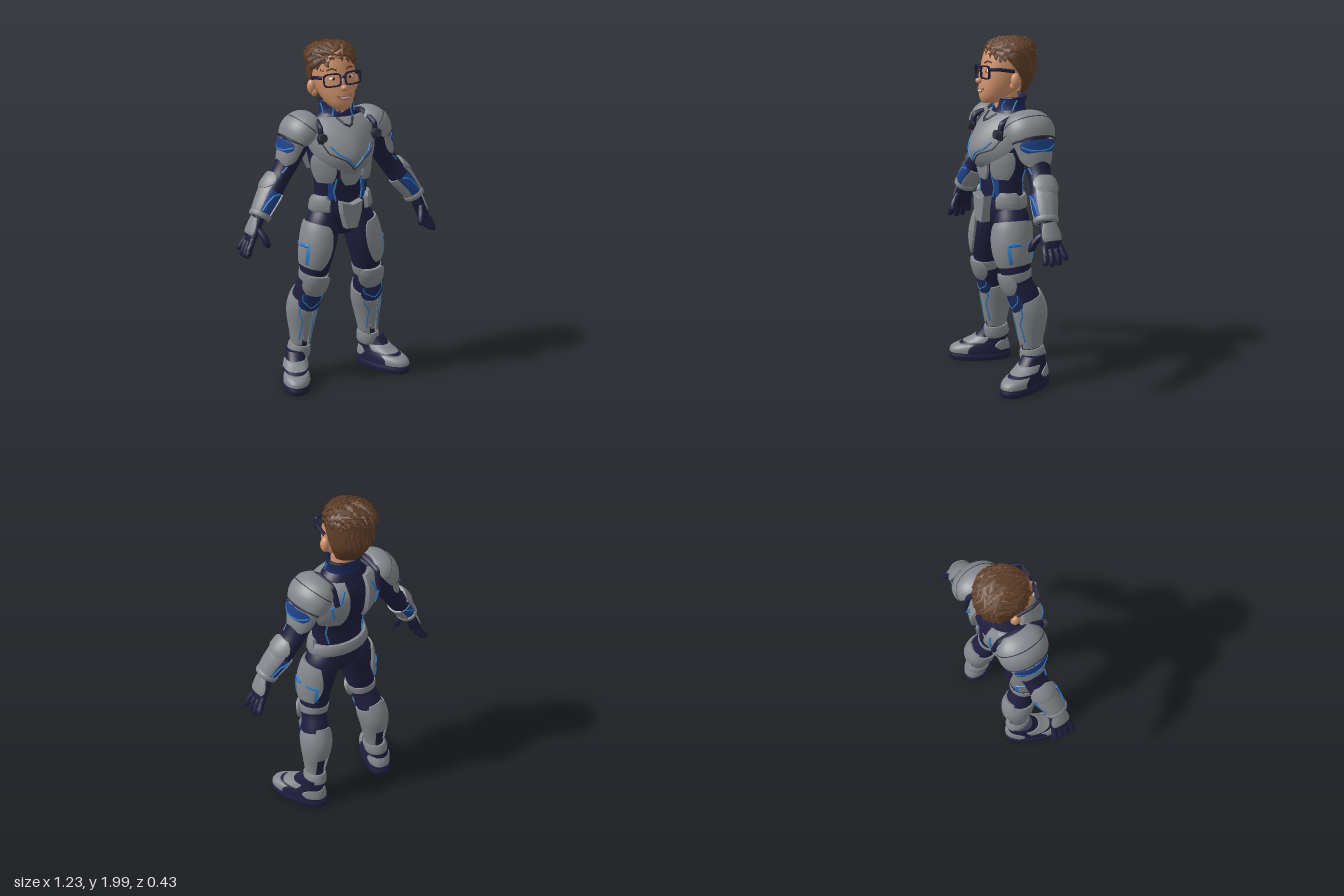
import * as THREE from 'three';
import { mergeGeometries, toCreasedNormals } from 'three/addons/utils/BufferGeometryUtils.js';

const mat = (name, color) => Object.assign(new THREE.MeshStandardMaterial({ color }), { name });
const M = {
  armour: mat('armour grey', 0x84878c), trim: mat('dark trim', 0x30323c), suit: mat('navy suit', 0x201e3e), blue: mat('deep blue panel', 0x1f428c),
  glow: mat('bright blue line', 0x2d7bc2), skin: mat('skin', 0xcf9069), hair: mat('brown hair', 0x5f3e28), white: mat('white', 0xe6e2dc),
  midnight: mat('midnight blue', 0x1b2a5c), lip: mat('lip', 0xa05f4c),
};
const V = (x, y, z) => new THREE.Vector3(x, y, z), Z = V(0, 0, 1);
const cross = (a, b) => V(0, 0, 0).crossVectors(a, b).normalize();

// A ring is [x, y, z, halfWidth, halfDepth, startAngle, endAngle]; smooth sampling between rings
function at(R, t) {
  t = Math.min(Math.max(t, 0), R.length - 1);
  const i = Math.min(Math.floor(t), R.length - 2), f = t - i;
  const a = R[Math.max(i - 1, 0)], b = R[i], c = R[i + 1], d = R[Math.min(i + 2, R.length - 1)];
  return b.map((q, j) => q + 0.5 * f * (c[j] - a[j] + f * (2 * a[j] - 5 * q + 4 * c[j] - d[j] + f * (3 * (q - c[j]) + d[j] - a[j]))));
}
// Point on the lofted surface: 0 degrees is outward, 90 degrees is the front
function point(R, t, deg, out, k, { flat, p = 1 }) {
  const r = at(R, t), a = THREE.MathUtils.degToRad(deg), pw = (q) => Math.sign(q) * Math.abs(q) ** p;
  const dir = flat ? V(0, 1, 0) : V(...at(R, t + 0.1)).sub(V(...at(R, t - 0.1))).normalize();
  if (dir.y < 0) dir.negate();
  const u = cross(dir, Z), v = cross(u, dir);
  return V(...r).addScaledVector(u, pw(Math.cos(a)) * (r[3] + out) * k).addScaledVector(v, pw(Math.sin(a)) * (r[4] + out) * k);
}
// Closed loft, or a thick curved plate when an angle range is given
function loft(R, o = {}) {
  const { t0 = 0, t1 = R.length - 1, out = 0, taper = 0, k = 0.86 } = o;
  const plate = !!o.a || R[0].length > 5, seg = plate ? 18 : 28, L = plate ? 2 * (seg + 1) : seg;
  const steps = Math.max(5, Math.ceil((t1 - t0) * 4)), top = steps * L, pos = [], idx = [];
  for (let j = 0; j <= steps; j++) {
    const f = j / steps, t = t0 + (t1 - t0) * f, e = Math.abs(2 * f - 1), lift = out * (1 - 0.3 * e ** 4);
    const [a0, a1] = plate ? o.a ?? at(R, t).slice(5) : [0, 360];
    for (let i = 0; i < L; i++) {
      const q = (i <= seg ? i : L - 1 - i) / seg;
      const deg = (a0 + a1) / 2 + (q - 0.5) * (a1 - a0) * (1 - taper * e * e);
      pos.push(...point(R, t, deg, lift, i > seg ? k : 1, o));
    }
  }
  for (let j = 0; j < top; j += L) for (let i = 0; i < L; i++) {
    const a = j + i, b = j + (i + 1) % L;
    idx.push(a, b, a + L, b, b + L, a + L);
  }
  const c = pos.length / 3;
  if (!plate) pos.push(...at(R, t0).slice(0, 3), ...at(R, t1).slice(0, 3));
  for (let i = 0; i < seg; i++) {
    const n = L - 1 - i, m = (i + 1) % L;
    if (plate) idx.push(m, i, n, m, n, n - 1, top + i, top + m, top + n, top + m, top + n - 1, top + n);
    else idx.push(c, m, i, c + 1, top + i, top + m);
  }
  // Turn all faces outward
  const P = (i) => V(pos[3 * i], pos[3 * i + 1], pos[3 * i + 2]);
  let vol = 0;
  for (let i = 0; i < idx.length; i += 3) vol += P(idx[i]).dot(P(idx[i + 1]).cross(P(idx[i + 2])));
  if (vol < 0) idx.reverse();
  const g = new THREE.BufferGeometry().setAttribute('position', new THREE.Float32BufferAttribute(pos, 3)).setIndex(idx);
  return toCreasedNormals(g, 0.8);
}
const tube = (pts, r) => new THREE.TubeGeometry(new THREE.CatmullRomCurve3(pts, false, 'catmullrom', 0.2), 40, r, 6);
const ball = (x, y, z, a, b, c) => new THREE.SphereGeometry(1, 20, 14).scale(a, b, c).translate(x, y, z);
const add = (g, name, material, geo) => g.add(Object.assign(new THREE.Mesh(geo, material), { name }));
const group = (parent, name) => {
  const g = Object.assign(new THREE.Group(), { name });
  parent.add(g);
  return g;
};
function mirror(g) {
  for (const m of [...g.children]) {
    const geo = m.geometry.clone().scale(-1, 1, 1);
    geo.setIndex((geo.index ? [...geo.index.array] : [...Array(geo.attributes.position.count).keys()]).reverse());
    add(g, m.name.replace('left', 'right'), m.material, geo);
  }
}
// Shells, armour plates and surface lines that all follow one set of rings
const kit = (g, R, base = {}, place = (geo) => geo) => {
  const k = {
    shell(name, m, o) { add(g, name, m, place(loft(R, { ...base, ...o }))); return k; },
    plate: (name, o) => k.shell(name, M.armour, o),
    line(name, pts, out = 0.003, r = 0.005, m = M.glow) {
      const fine = pts.flatMap((p, i) => i ? [0.25, 0.5, 0.75, 1].map((f) => p.map((q, j) => pts[i - 1][j] * (1 - f) + q * f)) : [p]);
      add(g, name, m, place(tube(fine.map(([t, a]) => point(R, t, a, out, 1, base)), r)));
      return k;
    },
  };
  return k;
};

function buildTorso(root) {
  const g = group(root, 'torso'), s = group(root, 'torsoSides'), flat = true;
  const T = [[0, 0.89, 0, 0.07, 0.06], [0, 0.95, 0, 0.16, 0.1], [0, 1.03, 0.01, 0.175, 0.11], [0, 1.12, 0.01, 0.16, 0.105], [0, 1.22, 0.01, 0.165, 0.11],
    [0, 1.35, -0.015, 0.185, 0.14], [0, 1.47, -0.035, 0.195, 0.135], [0, 1.55, -0.04, 0.14, 0.1], [0, 1.6, -0.04, 0.09, 0.08]];
  kit(g, T, { flat }).shell('bodySuit', M.suit).plate('belt', { t0: 2.1, t1: 2.85, a: [130, 410], out: 0.025 })
    .plate('bellyPlate', { t0: 3.75, t1: 4.9, a: [70, 110], out: 0.022, taper: 0.5 });
  // Pointed breastplate
  kit(g, [[0, 1.265, 0, 0.16, 0.16, 76, 104], [0, 1.305, 0, 0.19, 0.19, 50, 130], [0, 1.37, -0.01, 0.215, 0.215, 25, 155],
    [0, 1.45, -0.02, 0.225, 0.195, 15, 165], [0, 1.52, -0.03, 0.22, 0.155, 20, 160], [0, 1.57, -0.04, 0.17, 0.11, 25, 155]], { flat, p: 1.25 })
    .plate('breastplate').line('neckGuard', [[4.95, 68], [4.3, 80], [4.1, 90], [4.3, 100], [4.95, 112]], 0.001, 0.007, M.trim)
    .line('chestSeam', [[3.3, 35], [2.2, 48], [1.7, 70], [0.7, 90], [1.7, 110], [2.2, 132], [3.3, 145]], 0, 0.004, M.trim)
    .line('chestLine', [[2.7, 52], [2.2, 60], [1.9, 72], [1, 90], [1.9, 108], [2.2, 120], [2.7, 128]], 0.003, 0.005);
  const buckle = new THREE.Shape([[-0.062, 1.1], [-0.057, 1.04], [-0.03, 0.95], [0.03, 0.95], [0.057, 1.04], [0.062, 1.1], [0, 1.08]].map((p) => new THREE.Vector2(...p)));
  add(g, 'buckle', M.armour, new THREE.ExtrudeGeometry(buckle, { depth: 0.045, bevelSize: 0.005, bevelThickness: 0.008, bevelSegments: 2 }).translate(0, 0, 0.108));
  const K = [[0, 1.53, -0.04, 0.125, 0.1, 100, 440], [0, 1.6, -0.04, 0.1, 0.085, 100, 440], [0, 1.655, -0.045, 0.102, 0.086, 112, 428]];
  kit(g, K, { flat }).shell('collar', M.midnight).line('collarRim', [[1.9, 112], [1.9, 270], [1.9, 428]], 0, 0.008, M.suit);
  // Mirrored trim, ribs, shoulder blades and straps
  kit(s, K, { flat }).line('leftCollarLine', [[0.6, 55], [1.2, 58], [1.7, 48]], 0.002).line('leftCollarSideLine', [[0.8, 20], [1.7, 5]], 0.002);
  kit(s, T, { flat }).plate('leftRibPlate', { t0: 3.9, t1: 5.1, a: [10, 64], out: 0.02, taper: 0.35 })
    .plate('leftWaistPad', { t0: 2.25, t1: 3.1, a: [-10, 48], out: 0.026, taper: 0.25 })
    .shell('leftAbPanel', M.blue, { t0: 2.9, t1: 4, a: [44, 58], out: 0.005, taper: 0.3 }).line('leftAbLine', [[2.8, 62], [3.4, 57], [4.1, 64]], 0.004, 0.005)
    .plate('leftBackPlate', { t0: 4.4, t1: 7, a: [286, 345], out: 0.034, taper: 0.3 })
    .line('leftBackLine', [[6.6, 297], [5.9, 300], [5.6, 314], [5, 310]], 0.036, 0.008).line('leftFlankLine', [[3, 315], [3.7, 322], [4.3, 318]]);
  add(s, 'leftStrap', M.suit, tube([V(0.17, 1.44, 0.11), V(0.17, 1.53, 0.095), V(0.155, 1.575, -0.03), V(0.15, 1.555, -0.15), V(0.14, 1.45, -0.18)], 0.017));
  add(s, 'leftStrapJoint', M.trim, new THREE.CylinderGeometry(0.024, 0.028, 0.035, 16).rotateX(1.4).translate(0.17, 1.475, 0.125));
  mirror(s);
}

function buildArms(root) {
  const g = group(root, 'arms');
  const A = [[0.505, 1.035, 0, 0.042, 0.05], [0.47, 1.09, -0.01, 0.05, 0.06], [0.415, 1.165, -0.03, 0.06, 0.068], [0.355, 1.24, -0.045, 0.056, 0.065],
    [0.305, 1.32, -0.05, 0.063, 0.073], [0.265, 1.4, -0.05, 0.072, 0.08], [0.225, 1.48, -0.05, 0.075, 0.09], [0.17, 1.53, -0.05, 0.06, 0.08]];
  kit(g, A).shell('leftArmSuit', M.suit).plate('leftGauntletOuter', { t1: 2.4, a: [-64, 50], out: 0.014 })
    .plate('leftGauntletInner', { t1: 2.1, a: [124, 238], out: 0.012, taper: 0.1 }).plate('leftGauntletCuff', { t1: 0.55, out: 0.019 })
    .shell('leftGauntletPanel', M.blue, { t0: 0.3, t1: 2, a: [50, 122], out: 0.007 }).shell('leftGauntletBackPanel', M.blue, { t0: 0.3, t1: 2, a: [238, 296], out: 0.007 })
    .line('leftGauntletLine', [[0.6, 62], [1.1, 66], [1.7, 80], [2, 105]], 0.009).line('leftGauntletBackLine', [[0.6, 285], [1.5, 280], [2, 255]], 0.009)
    .plate('leftElbowPad', { t0: 1.9, t1: 3, a: [-65, 55], out: 0.024, taper: 0.5 }).line('leftArmLine', [[3.2, 60], [3.7, 70]]);
  // Layered shoulder armour
  kit(g, [[0.312, 1.3, -0.05, 0.06, 0.078, -60, 60], [0.295, 1.335, -0.05, 0.072, 0.095, -85, 85], [0.275, 1.385, -0.05, 0.08, 0.11, -90, 90], [0.258, 1.43, -0.05, 0.09, 0.124, -90, 90]])
    .plate('leftLowerPauldron').shell('leftPauldronPanel', M.blue, { t0: 1.65, t1: 3, a: [-62, 62], out: 0.006, taper: 0.3 })
    .line('leftPauldronLine', [[2.4, -58], [1.85, -30], [1.75, 0], [1.85, 30], [2.4, 58]], 0.005);
  kit(g, [[0.27, 1.415, -0.05, 0.083, 0.12, -75, 75], [0.25, 1.445, -0.05, 0.1, 0.138, -100, 100], [0.22, 1.49, -0.05, 0.11, 0.145, -105, 105],
    [0.18, 1.535, -0.05, 0.09, 0.13, -105, 105], [0.145, 1.565, -0.05, 0.045, 0.085, -105, 105]])
    .plate('leftPauldron', { t0: 0.55 }).line('leftPauldronRidge', [[2.5, -100], [2.5, -50], [2.5, 0], [2.5, 50], [2.5, 100]], -0.001, 0.003, M.trim)
    .line('leftPauldronEdge', [[0.6, -85], [0.55, -40], [0.55, 40], [0.6, 85]], 0, 0.005, M.trim);
  // Gloved hand
  kit(g, [[0.568, 0.905, -0.005, 0.018, 0.05], [0.556, 0.93, -0.005, 0.026, 0.06], [0.535, 0.975, -0.005, 0.03, 0.058], [0.505, 1.045, 0, 0.032, 0.042]])
    .shell('leftPalm', M.suit).plate('leftHandPlate', { t0: 1.3, t1: 2.8, a: [-60, 60], out: 0.009, taper: 0.2 });
  const finger = (name, a, b, c, r) => add(g, name, M.suit, loft([[...a, r * 0.9, r * 0.9], [...b, r * 1.1, r * 1.1], [...c, r, r], [c[0] + 0.002, c[1] - 0.012, c[2], r * 0.4, r * 0.4]]));
  [0.84, 0.832, 0.834, 0.855].forEach((tip, i) => {
    const z = 0.038 - 0.029 * i, d = 0.018 - 0.012 * i;
    finger('leftFinger' + (i + 1), [0.556, 0.93, z], [0.584, 0.88, z + d * 0.6], [0.6, tip, z + d], 0.0165);
  });
  finger('leftThumb', [0.53, 0.985, 0.03], [0.508, 0.94, 0.07], [0.495, 0.895, 0.088], 0.018);
  mirror(g);
}

function buildLegs(root) {
  const g = group(root, 'legs');
  const L = [[0.238, 0.13, -0.08, 0.055, 0.068], [0.225, 0.25, -0.065, 0.048, 0.06], [0.215, 0.42, -0.065, 0.076, 0.086], [0.2, 0.52, -0.04, 0.076, 0.085],
    [0.18, 0.62, 0, 0.073, 0.08], [0.165, 0.72, 0.015, 0.085, 0.095], [0.145, 0.83, 0.02, 0.098, 0.106], [0.115, 0.95, 0.005, 0.098, 0.105], [0.09, 1.02, 0.01, 0.08, 0.09]];
  const k = kit(g, L).shell('leftLegSuit', M.suit).plate('leftThighPlate', { t0: 4.95, t1: 7, a: [-72, 106], out: 0.016, taper: 0.25 })
    .plate('leftKneeBand', { t0: 4.05, t1: 4.55, out: 0.008 }).plate('leftKneePad', { t0: 3.6, t1: 4.55, a: [30, 150], out: 0.028, taper: 0.4 })
    .plate('leftShinPlate', { t0: 0.85, t1: 2.9, a: [-60, 76], out: 0.014, taper: 0.1 }).plate('leftInnerShinPlate', { t0: 0.85, t1: 2.9, a: [104, 240], out: 0.014, taper: 0.1 })
    .plate('leftShinRidge', { t0: 1, t1: 2.4, a: [72, 108], out: 0.012, taper: 0.4 }).shell('leftKneePanel', M.midnight, { t0: 2.4, t1: 3.65, a: [38, 142], out: 0.017, taper: 0.5 })
    .plate('leftCalfPlate', { t0: 1.6, t1: 3.1, a: [225, 315], out: 0.016, taper: 0.25 }).plate('leftAnkleCuff', { t0: 0.3, t1: 0.8, out: 0.017 })
    .line('leftKneeLine', [[3.5, 45], [3.1, 55], [2.75, 90], [3.1, 125], [3.5, 135]], 0.016, 0.004);
  for (const [a, n] of [[52, 'Outer'], [128, 'Inner']]) k.line(`left${n}ShinLine`, [[1.1, a], [1.7, a + (90 - a) * 0.4], [2.2, a], [2.7, a]], 0.014);
  // Bracket-shaped lights on the thigh
  for (const [n, a, b] of [['Front', 33, 0], ['Rear', -55, -22]])
    k.shell(`leftThigh${n}Light`, M.glow, { t0: 5.1, t1: 6, a: [a - 5, a + 5], out: 0.021 }).shell(`leftThigh${n}LightTop`, M.glow, { t0: 5.9, t1: 6.06, a: [Math.min(a, b), Math.max(a, b)], out: 0.023 });
  // Boot, turned outward
  const place = (geo) => geo.rotateY(0.4).translate(0.29, 0, 0.01), o = { flat: true, p: 0.85 };
  kit(g, [[0, 0, 0, 0.08, 0.185], [0, 0.02, 0, 0.084, 0.19], [0, 0.04, 0, 0.08, 0.185]], o, place).shell('leftSole', M.suit);
  kit(g, [[0, 0.025, 0, 0.078, 0.182], [0, 0.07, -0.002, 0.076, 0.175], [0, 0.1, -0.025, 0.07, 0.145], [0, 0.135, -0.06, 0.062, 0.1], [0, 0.19, -0.082, 0.058, 0.072]], o, place)
    .shell('leftBoot', M.suit).plate('leftToeCap', { t0: 0.5, t1: 1.9, a: [22, 158], out: 0.007 })
    .plate('leftInstepStrap', { t0: 2.3, t1: 3.2, a: [5, 175], out: 0.009 }).plate('leftHeelGuard', { t0: 0.8, t1: 2.6, a: [205, 345], out: 0.006, taper: 0.2 });
  mirror(g);
}

function buildHead(root) {
  // Slightly tilted and turned at the neck
  const pivot = group(root, 'headPivot'), g = group(pivot, 'head'), s = group(pivot, 'faceSides'), flat = true;
  pivot.position.set(-0.015, 1.62, 0);
  pivot.rotation.set(0, -0.1, 0.08);
  g.position.y = s.position.y = -1.62;
  const F = [[0, 1.62, 0.07, 0.035, 0.045], [0, 1.65, 0.045, 0.07, 0.085], [0, 1.7, 0.015, 0.097, 0.118], [0, 1.76, -0.01, 0.115, 0.134],
    [0, 1.83, -0.03, 0.122, 0.143], [0, 1.9, -0.045, 0.118, 0.138], [0, 1.95, -0.05, 0.09, 0.11]];
  kit(g, F, { flat }).shell('face', M.skin).shell('teeth', M.white, { t0: 1.76, t1: 2, a: [68, 112], out: 0.003, taper: 0.25, k: 0.95 })
    .line('upperLip', [[2.12, 64], [2, 75], [2, 105], [2.12, 116]], 0.001, 0.004, M.lip).line('lowerLip', [[2.08, 65], [1.76, 76], [1.7, 90], [1.76, 104], [2.08, 115]], 0.001, 0.004, M.lip);
  add(g, 'neck', M.skin, new THREE.CylinderGeometry(0.068, 0.068, 0.16, 24).translate(0, 1.62, -0.025));
  add(g, 'nose', M.skin, mergeGeometries([ball(0, 1.747, 0.133, 0.019, 0.017, 0.021), ball(0, 1.775, 0.118, 0.011, 0.035, 0.016)]));
  add(s, 'leftEar', M.skin, mergeGeometries([ball(0.13, 1.745, -0.035, 0.024, 0.042, 0.028), ball(0.12, 1.715, -0.025, 0.018, 0.024, 0.02)]));
  add(s, 'leftEye', M.white, ball(0.05, 1.8, 0.096, 0.022, 0.01, 0.013));
  add(s, 'leftIris', M.suit, ball(0.049, 1.8, 0.104, 0.009, 0.009, 0.008));
  kit(s, F, { flat }).line('leftBrow', [[4.2, 77], [4.36, 66], [4.22, 52]], 0.001, 0.005, M.hair);
  // Spectacles
  const pw = (q) => Math.sign(q) * Math.sqrt(Math.abs(q));
  const oval = (w, h) => Array.from({ length: 32 }, (_, i) => new THREE.Vector2(w * pw(Math.cos(i * Math.PI / 16)), h * pw(Math.sin(i * Math.PI / 16))));
  const frame = new THREE.Shape(oval(0.051, 0.038));
  frame.holes.push(new THREE.Path(oval(0.044, 0.031)));
  add(s, 'leftGlassesRim', M.suit, new THREE.ExtrudeGeometry(frame, { depth: 0.012, bevelEnabled: false }).rotateY(0.15).translate(0.06, 1.795, 0.112));
  add(s, 'leftGlassesArm', M.suit, tube([V(0.109, 1.812, 0.11), V(0.125, 1.81, 0.06), V(0.128, 1.795, -0.03)], 0.01));
  add(g, 'glassesBridge', M.suit, tube([V(-0.015, 1.805, 0.126), V(0, 1.81, 0.132), V(0.015, 1.805, 0.126)], 0.006));
  mirror(s);
  // Hair: short back and sides, fuller crown with overlapping locks
  const B = [[0, 1.67, -0.06, 0.085, 0.075, 195, 345], [0, 1.74, -0.065, 0.118, 0.118, 188, 352], [0, 1.8, -0.065, 0.128, 0.13, 172, 368],
    [0, 1.86, -0.06, 0.132, 0.136, 152, 388], [0, 1.9, -0.055, 0.13, 0.134, 140, 400]];
  const C = [[0, 1.872, -0.05, 0.122, 0.134], [0, 1.9, -0.055, 0.131, 0.137], [0, 1.94, -0.06, 0.12, 0.126], [0, 1.968, -0.06, 0.085, 0.09], [0, 1.98, -0.06, 0.02, 0.02]];
  kit(g, B, { flat }).shell('hairBack', M.hair);
  kit(g, C, { flat }).shell('hairCrown', M.hair);
  let seed = 7;
  const rnd = () => (seed = (seed * 16807) % 2147483647) / 2147483647, locks = [];
  const lock = (R, t, deg, rise, sweep) => {
    const a = THREE.MathUtils.degToRad(deg), n = V(Math.cos(a) * Math.cos(rise), Math.sin(rise), Math.sin(a) * Math.cos(rise));
    const dir = sweep.addScaledVector(n, -sweep.dot(n)).normalize().addScaledVector(n, 0.2).normalize(), side = cross(dir, n);
    const basis = new THREE.Matrix4().makeBasis(side, dir, cross(side, dir)).setPosition(point(R, t, deg, 0.002, 1, { flat }));
    locks.push(new THREE.ConeGeometry(0.026, 0.065 + 0.03 * rnd(), 6).scale(1, 1, 0.5).applyMatrix4(basis));
  };
  for (let i = 0; i < 120; i++) {
    const t = 0.2 + 3.65 * (i / 120) ** 1.2, deg = (i * 137.5) % 360, front = Math.sin(deg * Math.PI / 180);
    lock(C, t, deg, t * 0.38, V(0.1 - 0.7 * rnd(), front > 0.3 ? 0.5 : -0.1, front < -0.5 ? -0.4 : 0.9));
  }
  for (let i = 0; i < 45; i++) lock(B, 1.9 + 2 * (i / 45), 205 + (i * 83) % 130, 0, V(0.5 * (rnd() - 0.5), -1, 0));
  add(g, 'hairLocks', M.hair, mergeGeometries(locks));
}

export function createModel() {
  const root = Object.assign(new THREE.Group(), { name: 'armouredFigure' });
  for (const build of [buildTorso, buildArms, buildLegs, buildHead]) build(root);
  return root;
}
